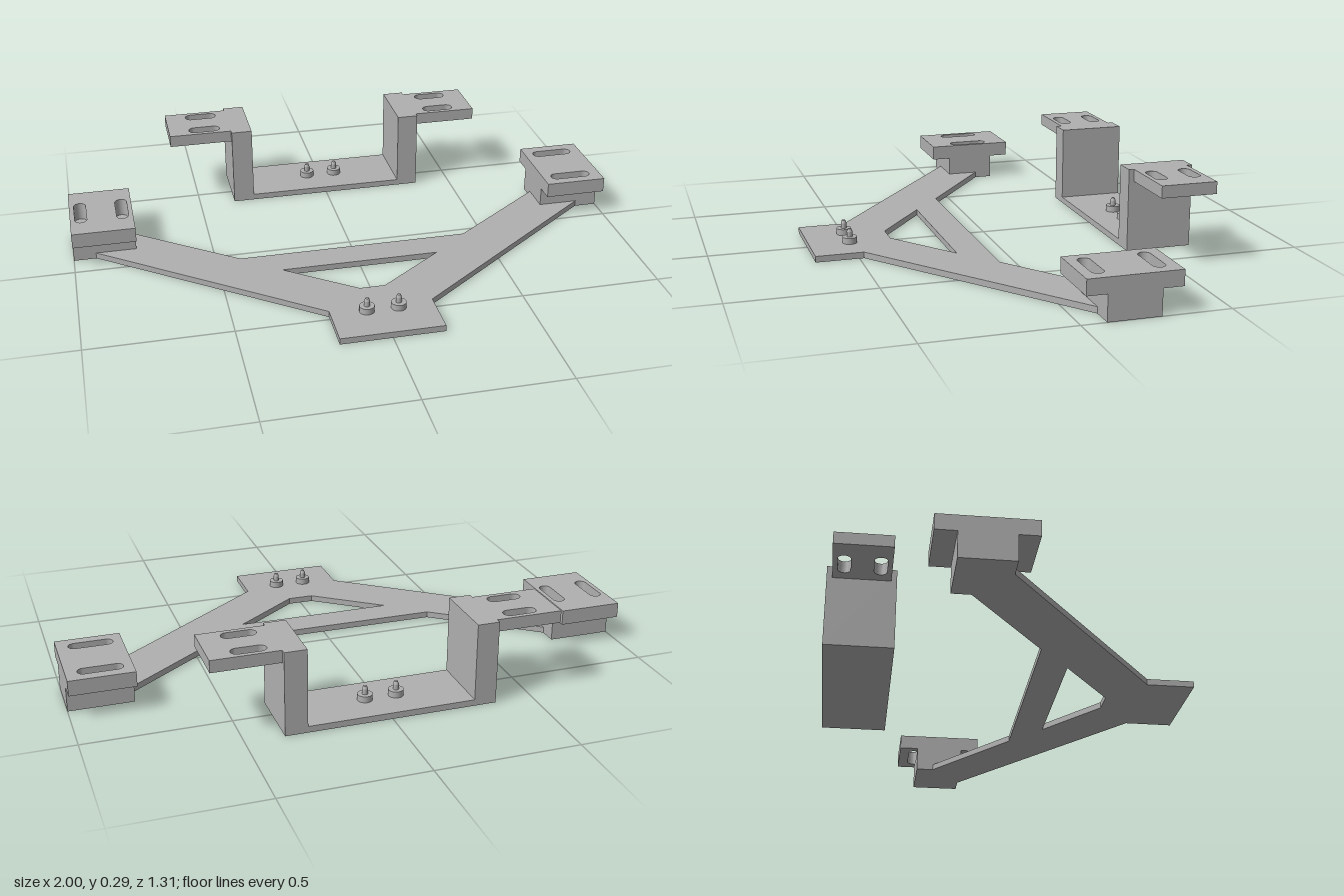
import * as THREE from 'three';

const grey = new THREE.MeshStandardMaterial({ color: 0xb0b0b0 });
grey.name = 'grey metal';

const PLATE = 0.022; // thickness of both base plates

// Closed outline from [x, z] pairs
function outline(points, Type = THREE.Shape) {
  return new Type(points.map(([x, z]) => new THREE.Vector2(x, -z)));
}

function rect(x0, x1, z0, z1) {
  return outline([[x0, z0], [x1, z0], [x1, z1], [x0, z1]]);
}

// Round-ended slot filling the given x/z range
function slot(x0, x1, z0, z1) {
  const path = new THREE.Path();
  const cx = (x0 + x1) / 2, cy = -(z0 + z1) / 2;
  if (x1 - x0 > z1 - z0) {
    const r = (z1 - z0) / 2;
    path.absarc(x1 - r, cy, r, -Math.PI / 2, Math.PI / 2);
    path.absarc(x0 + r, cy, r, Math.PI / 2, Math.PI * 1.5);
  } else {
    const r = (x1 - x0) / 2;
    path.absarc(cx, -z0 - r, r, 0, Math.PI);
    path.absarc(cx, -z1 + r, r, Math.PI, Math.PI * 2);
  }
  path.closePath();
  return path;
}

// Horizontal slab between two heights
function slab(name, shape, y0, y1, holes = []) {
  shape.holes.push(...holes);
  const geo = new THREE.ExtrudeGeometry(shape, { depth: y1 - y0, bevelEnabled: false, curveSegments: 10 });
  geo.rotateX(-Math.PI / 2);
  geo.translate(0, y0, 0);
  const mesh = new THREE.Mesh(geo, grey);
  mesh.name = name;
  return mesh;
}

// Pair of studs: collar, pin and tapered tip
function studs(name, z) {
  const group = new THREE.Group();
  group.name = name;
  for (const x of [-0.055, 0.055]) {
    for (const [part, rTop, rBottom, y0, y1] of [
      ['collar', 0.026, 0.026, PLATE, 0.044],
      ['pin', 0.01, 0.01, 0.044, 0.063],
      ['pinTip', 0.006, 0.01, 0.063, 0.073],
    ]) {
      const mesh = new THREE.Mesh(new THREE.CylinderGeometry(rTop, rBottom, y1 - y0, 24), grey);
      mesh.position.set(x, (y0 + y1) / 2, z);
      mesh.name = part;
      group.add(mesh);
    }
  }
  return group;
}

function frontFrame() {
  const group = new THREE.Group();
  group.name = 'frontFrame';

  // V-shaped plate with a crossbar and a trapezoid opening
  const half = [[0.18, 0.653], [0.18, 0.484], [0.92, -0.085], [0.775, -0.2], [0.417, 0.07]];
  const mirrored = half.map(([x, z]) => [-x, z]).reverse();
  const opening = outline([[-0.283, 0.181], [0.283, 0.181], [0.045, 0.361], [-0.045, 0.361]], THREE.Path);
  group.add(slab('framePlate', outline([...half, ...mirrored]), 0, PLATE, [opening]));
  group.add(studs('frontStuds', 0.509));

  // Left mount: crosswise slots that nick the edges of the block below
  const back = -0.265, front = -0.085;
  group.add(slab('leftBlock', rect(0.775, 1, back, front), 0, 0.08));
  const top = new THREE.Shape();
  top.moveTo(0.775, -back);
  top.lineTo(0.81, -back);
  top.quadraticCurveTo(0.816, 0.254, 0.829, 0.254);
  top.lineTo(0.939, 0.254);
  top.quadraticCurveTo(0.951, 0.254, 0.957, -back);
  top.lineTo(1, -back);
  top.lineTo(1, -front);
  top.lineTo(0.957, -front);
  top.quadraticCurveTo(0.951, 0.095, 0.939, 0.095);
  top.lineTo(0.829, 0.095);
  top.quadraticCurveTo(0.816, 0.095, 0.81, -front);
  top.lineTo(0.775, -front);
  group.add(slab('leftBlockTop', top, 0.08, 0.09));
  group.add(slab('leftPad', rect(0.775, 1, -0.335, -0.016), 0.09, 0.144,
    [slot(0.807, 0.96, -0.297, -0.254), slot(0.807, 0.96, -0.095, -0.052)]));

  // Right mount: lengthwise blind slots
  const slots = () => [slot(-0.983, -0.94, -0.25, -0.1), slot(-0.834, -0.791, -0.25, -0.1)];
  group.add(slab('rightBlock', rect(-1, -0.775, back, front), 0, 0.08));
  group.add(slab('rightBlockTop', rect(-1, -0.775, back, front), 0.08, 0.09, slots()));
  group.add(slab('rightPad', rect(-1, -0.775, -0.335, -0.016), 0.09, 0.144, slots()));
  return group;
}

function rearBracket() {
  const group = new THREE.Group();
  group.name = 'rearBracket';

  // U-shaped channel
  const u = new THREE.Shape([
    [-0.367, 0], [0.367, 0], [0.367, 0.294], [0.29, 0.294],
    [0.29, PLATE], [-0.29, PLATE], [-0.29, 0.294], [-0.367, 0.294],
  ].map(([x, y]) => new THREE.Vector2(x, y)));
  const geo = new THREE.ExtrudeGeometry(u, { depth: 0.238, bevelEnabled: false });
  geo.translate(0, 0, -0.653);
  const channel = new THREE.Mesh(geo, grey);
  channel.name = 'channel';
  group.add(channel);

  // Slotted flanges on both sides
  for (const [name, s] of [['leftFlange', 1], ['rightFlange', -1]]) {
    const span = (a, b) => (s > 0 ? [a, b] : [-b, -a]);
    const [sx0, sx1] = span(0.406, 0.524);
    group.add(slab(name, rect(...span(0.367, 0.6), -0.634, -0.434), 0.251, 0.294,
      [slot(sx0, sx1, -0.617, -0.573), slot(sx0, sx1, -0.495, -0.451)]));
  }
  group.add(studs('rearStuds', -0.534));
  return group;
}

export function createModel() {
  const model = new THREE.Group();
  model.name = 'mountingBrackets';
  model.add(frontFrame(), rearBracket());
  return model;
}
